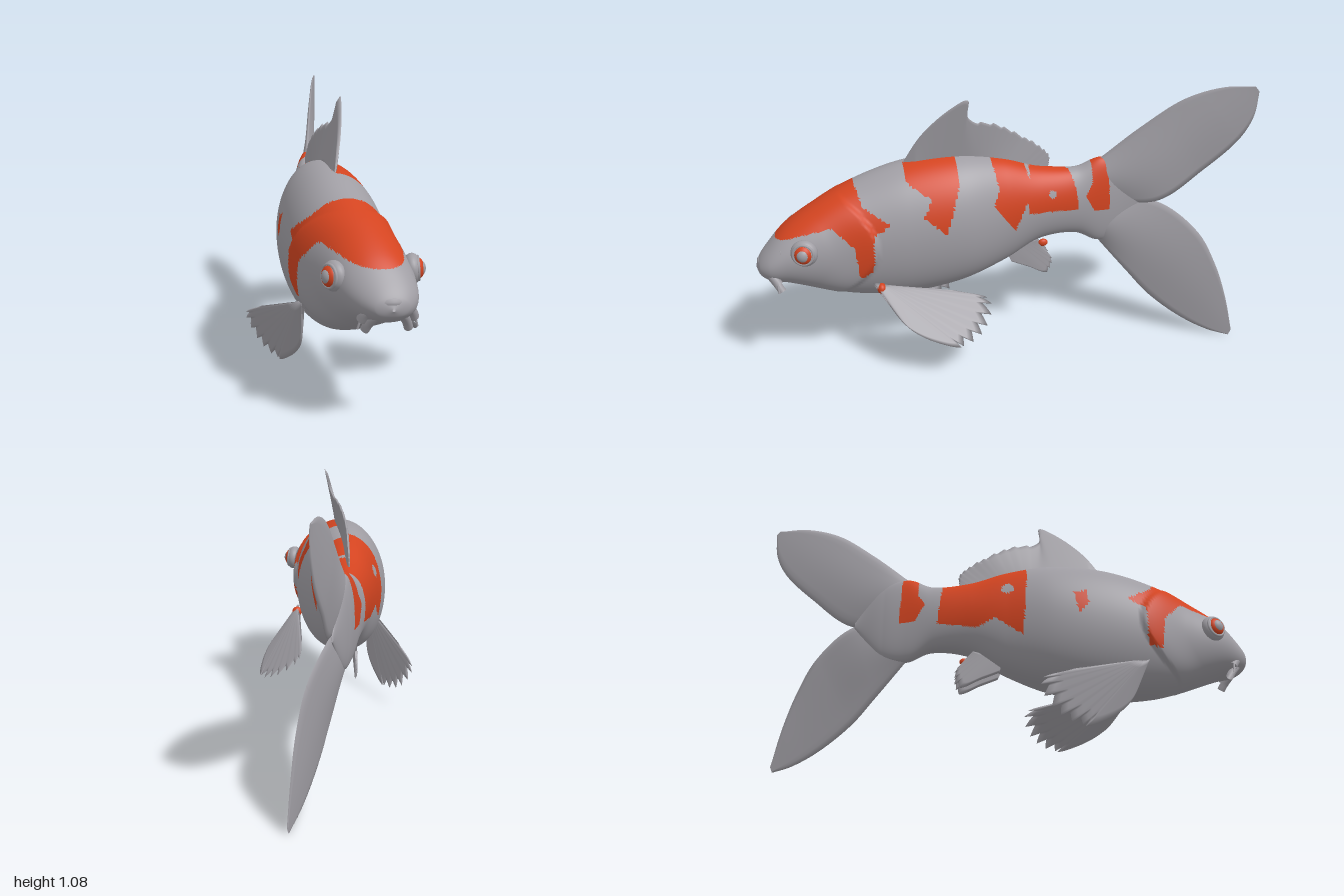
import * as THREE from 'three';

const V = (x, y, z) => new THREE.Vector3(x, y, z);
const curve = pts => new THREE.CatmullRomCurve3(pts.map(p => V(...p)));
const smooth = THREE.MathUtils.smoothstep;

// Skin between closed rings of points; pick(centre) chooses material 0 or 1 per face
function skin(rings, pick) {
  const n = rings[0].length, pos = [], faces = [[], []];
  rings.forEach(r => r.forEach(p => pos.push(p.x, p.y, p.z)));
  const add = (a, b, c) => {
    const [p, q, r] = [a, b, c].map(i => V().fromArray(pos, i * 3));
    faces[pick ? pick(p.add(q).add(r).divideScalar(3)) : 0].push(a, b, c);
  };
  for (let i = 0; i < rings.length - 1; i++) for (let j = 0; j < n; j++) {
    const a = i * n + j, b = i * n + (j + 1) % n;
    add(a, a + n, b);
    add(b, a + n, b + n);
  }
  const g = new THREE.BufferGeometry();
  g.setAttribute('position', new THREE.Float32BufferAttribute(pos, 3));
  g.setIndex([...faces[0], ...faces[1]]);
  g.addGroup(0, faces[0].length, 0);
  g.addGroup(faces[0].length, faces[1].length, 1);
  g.computeVertexNormals();
  return g;
}

// Thin blade between two edge curves, thickened along normal; teeth = [count, depth, from, to]
function blade(a, b, normal, thick, teeth) {
  const A = curve(a), B = curve(b), rings = [], NS = 110, NV = 14;
  for (let i = 0; i <= NS; i++) {
    const s = i / NS, p = A.getPoint(s), q = B.getPoint(s), ring = [];
    if (teeth && s > teeth[2] && s < teeth[3]) q.lerp(p, teeth[1] * ((s * teeth[0]) % 1));
    for (let k = 0; k < 2 * NV; k++) {
      const v = k <= NV ? k / NV : 2 - k / NV, side = k <= NV ? 1 : -1;
      ring.push(p.clone().lerp(q, v).addScaledVector(normal, side * (0.002 + thick(s, v))));
    }
    rings.push(ring);
  }
  return skin(rings);
}

// Body sections: z, top, bottom, right x, left x
const SECTIONS = [
  [1, .45, .44, .04, .05], [.985, .485, .415, -.015, .105], [.95, .53, .392, -.055, .14],
  [.88, .6, .37, -.103, .155], [.75, .68, .318, -.15, .16], [.6, .745, .265, -.197, .15],
  [.4, .805, .248, -.22, .16], [.18, .82, .28, -.21, .152], [0, .79, .345, -.16, .103],
  [-.15, .745, .43, -.116, .08], [-.3, .735, .445, -.073, .068], [-.4, .775, .405, -.038, .063],
  [-.5, .75, .43, 0, .06], [-.62, .6, .575, .066, .074],
];
const HEIGHTS = curve(SECTIONS.map(s => [s[0], s[1], s[2]]));
const WIDTHS = curve(SECTIONS.map(s => [s[0], s[3], s[4]]));

// Orange patch outlines in (z, y): on both sides, the left and the right
const BOTH = [
  [[.93, .56], [.82, .592], [.7, .615], [.62, .53], [.605, .4], [.55, .415], [.545, .57], [.475, .61],
    [.58, .68], [.65, .9], [.93, .9]],
  [[-.36, .9], [-.36, .68], [-.33, .63], [-.37, .56], [-.435, .56], [-.42, .9]],
];
const LEFT = [
  [[.42, .9], [.4, .755], [.31, .695], [.345, .63], [.26, .556], [.195, .75], [.195, .9]],
  [[.07, .9], [.035, .695], [.06, .64], [-.03, .515], [-.1, .67], [-.07, .9]],
  [[-.14, .9], [-.08, .65], [-.09, .58], [-.3, .575], [-.29, .66], [-.22, .9]],
];
const RIGHT = [
  [[.09, .9], [.06, .46], [-.05, .54], [-.12, .51], [-.28, .54], [-.24, .9]],
  [[.31, .64], [.32, .58], [.28, .53], [.26, .63]],
];

function inside(poly, z, y) {
  let hit = false;
  poly.forEach(([z1, y1], i) => {
    const [z2, y2] = poly[(i + 1) % poly.length];
    if ((y1 > y) !== (y2 > y) && z < (z2 - z1) * (y - y1) / (y2 - y1) + z1) hit = !hit;
  });
  return hit;
}

function bodyGeometry() {
  const rings = [], N = 250, M = 112;
  for (let i = 0; i <= N; i++) {
    const h = HEIGHTS.getPoint(i / N), w = WIDTHS.getPoint(i / N), z = h.x, ring = [];
    for (let j = 0; j < M; j++) {
      const a = j / M * Math.PI * 2, c = Math.cos(a), s = Math.sin(a);
      const y = (h.y + h.z) / 2 + s * (h.y - h.z) / 2;
      // Raised gill cover with a curved rear edge
      const gill = .53 + 3.5 * (y - .52) ** 2;
      const lift = .018 * smooth(z, gill - .008, gill + .008) * (1 - smooth(z, gill, gill + .18));
      const across = Math.sign(c) * Math.abs(c) ** (s < 0 ? .82 : 1);
      ring.push(V((w.y + w.z) / 2 + across * ((w.z - w.y) / 2 + lift), y, z));
    }
    rings.push(ring);
  }
  const centre = z => z > .7 ? .02 : z > -.2 ? -.025 : 0;
  return skin(rings, p => {
    const left = p.x > centre(p.z);
    // Pale fleck inside the rear patch
    if (left ? Math.hypot(p.z + .19, p.y - .65) < .016 : Math.hypot(p.z, p.y - .67) < .024) return 0;
    return [...BOTH, ...(left ? LEFT : RIGHT)].some(poly => inside(poly, p.z, p.y)) ? 1 : 0;
  });
}

export function createModel() {
  const model = new THREE.Group();
  const grey = new THREE.MeshStandardMaterial({ color: 0xa09ea4, side: THREE.DoubleSide });
  grey.name = 'silver grey';
  const orange = new THREE.MeshStandardMaterial({ color: 0xd34420, side: THREE.DoubleSide });
  orange.name = 'orange';
  const add = (name, geo, mat = grey, parent = model) => {
    const m = new THREE.Mesh(geo, mat);
    m.name = name;
    parent.add(m);
    return m;
  };
  const ball = (name, mat, parent, p, s) => {
    const m = add(name, new THREE.SphereGeometry(1, 28, 20), mat, parent);
    m.position.set(...p);
    m.scale.set(...s);
  };

  add('body', bodyGeometry(), [grey, orange]);

  // Forked tail, swept towards the left
  const tailPoint = ([z, y]) => [.02 + (-z - .42) * (.25 + .18 * (1 - smooth(y, .42, .68))), y, z];
  const lobe = (name, lead, trail) => add(name, blade(trail.map(tailPoint), lead.map(tailPoint),
    V(1, 0, .3).normalize(), (s, v) => .03 * (1 - s) ** 1.5 * Math.sin(Math.PI * v)));
  lobe('upperTailLobe', [[-.39, .765], [-.555, .91], [-.715, 1.027], [-.86, 1.076], [-.98, 1.08]],
    [[-.39, .6], [-.625, .588], [-.81, .728], [-.94, .865], [-.985, .96], [-.996, 1.06]]);
  lobe('lowerTailLobe', [[-.39, .42], [-.52, .267], [-.61, .166], [-.74, .07], [-.85, .02], [-.93, .004]],
    [[-.39, .58], [-.625, .588], [-.78, .476], [-.855, .337], [-.905, .187], [-.94, .03]]);

  // Dorsal fin with a ragged rear edge, its tip leaning left
  const dorsalPoint = ([z, y]) => [-.025 + .26 * Math.max(0, y - .8) * smooth(z, -.1, .16), y, z];
  add('dorsalFin', blade(
    [[.4, .78], [.26, .79], [.1, .785], [-.05, .75], [-.18, .71]].map(dorsalPoint),
    [[.405, .8], [.33, .925], [.22, 1.03], [.15, 1.065], [.145, .985], [.03, .945], [-.075, .885],
      [-.155, .83], [-.195, .785], [-.19, .735]].map(dorsalPoint),
    V(1, 0, 0), (s, v) => .014 * (1 - s * .6) * (1 - v * .8) * Math.min(1, s * 12), [22, .07, .45, .96]));

  // Pectoral fins: one outline spanned by each fin's leading and inner edge directions
  const OUTLINE = [[.25, -.14], [.57, -.28], [.83, -.35], [1, -.25], [1, 0], [.58, .52], [0, 1], [-.1, .75]];
  const pectoral = (name, root, lead, inner) => {
    const at = ([a, b]) => root.clone().addScaledVector(lead, a).addScaledVector(inner, b).toArray();
    add(name, blade([[0, -.06], [0, .06]].map(at), OUTLINE.map(at), lead.clone().cross(inner).normalize(),
      (s, v) => (.004 + .008 * Math.sin(Math.PI * s)) * (1 - v * .8), [18, .11, .55, .88]));
  };
  pectoral('leftPectoralFin', V(.145, .36, .53), V(.18, -.22, -.31), V(.025, -.11, -.44));
  pectoral('rightPectoralFin', V(-.18, .36, .53), V(-.05, -.3, -.26), V(-.15, -.165, -.42));
  ball('pectoralSpot', orange, model, [.155, .348, .525], [.022, .022, .018]);

  // Small pair of fins under the rear belly
  for (const x of [-.055, .015]) add('rearBellyFin', blade([[x, .41, 0], [x, .43, -.13]],
    [[x, .34, -.03], [x, .31, -.1], [x, .275, -.185], [x, .335, -.205], [x, .385, -.17]],
    V(1, 0, 0), (s, v) => .007 * (1 - v * .7), [12, .06, .5, .9]));
  ball('bellySpot', orange, model, [.015, .413, -.165], [.012, .016, .02]);

  // Eyes: bulging socket, orange ring and grey pupil, facing outwards along local z
  const eye = (name, p, dir) => {
    const g = new THREE.Group();
    g.name = name;
    g.position.copy(p);
    g.lookAt(p.clone().add(dir));
    ball('eyeSocket', grey, g, [0, 0, -.008], [.053, .053, .034]);
    ball('eyeRing', orange, g, [0, 0, .008], [.036, .038, .026]);
    ball('pupil', grey, g, [0, 0, .014], [.027, .029, .024]);
    add('eyelid', new THREE.TorusGeometry(.039, .006, 10, 36), grey, g).position.z = .012;
    model.add(g);
  };
  eye('leftEye', V(.165, .535, .815), V(1, .08, .25));
  eye('rightEye', V(-.125, .527, .835), V(-1, .08, .5));

  // Downturned lips, whiskers and nostrils
  const tube = (name, pts, r) => add(name, new THREE.TubeGeometry(curve(pts), 40, r, 12));
  const lip = (name, width, y, z, r) => tube(name, [-1, -.85, -.5, 0, .5, .85, 1].map(t =>
    [.045 + width * t, y - .07 * Math.abs(t) ** 3, z - .06 * t * t]), r);
  lip('upperLip', .09, .466, .979, .018);
  lip('lowerLip', .075, .428, .968, .016);
  for (const s of [-1, 1]) {
    tube('whisker', [[.045 + s * .09, .41, .925], [.045 + s * .102, .365, .92]], .004);
    const nostril = add('nostril', new THREE.TorusGeometry(.011, .004, 8, 20));
    nostril.position.set(.04 + s * .085, .528, .908);
    nostril.rotation.set(-.6, s * .6, 0);
  }
  return model;
}
